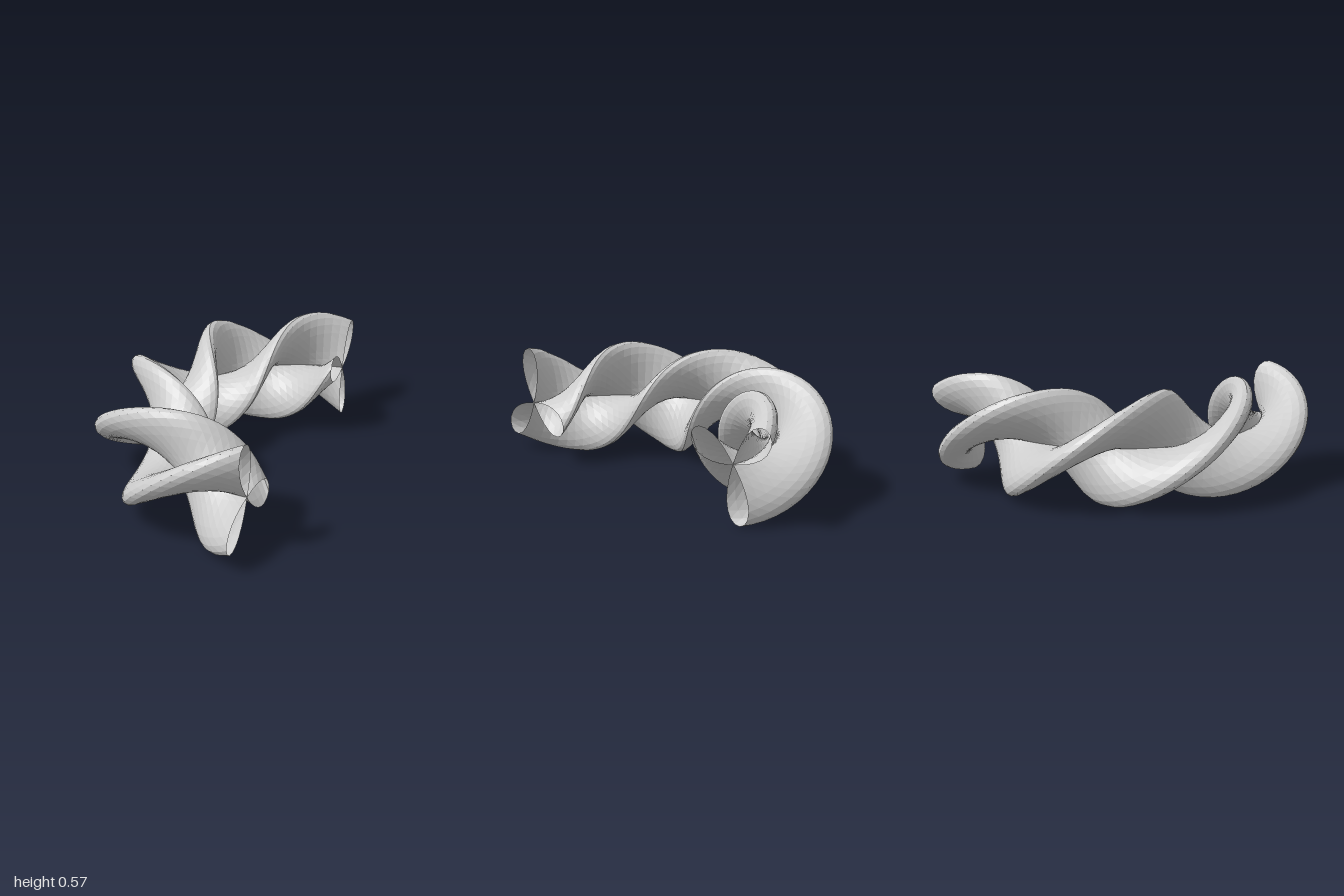
import * as THREE from 'three';

const LOBES = 3, POINTS = 18, STEPS = 64;
const ARC_RADIUS = 0.764, ARC_X = 0.518, TIP = 0.287, BULGE = 0.088;
const HALF_ARC = THREE.MathUtils.degToRad(87);
const TWIST = 3; // turns of the section per turn along the arc

// Three teardrop petals that meet at the middle, each with a ridge at its tip
function section() {
  const points = [];
  for (let lobe = 0; lobe < LOBES; lobe++) {
    const turn = lobe * 2 * Math.PI / LOBES;
    for (let i = 0; i < POINTS; i++) {
      const t = -Math.PI + i * 2 * Math.PI / POINTS;
      const p = new THREE.Vector2(TIP / 2 * (1 + Math.cos(t)), BULGE * Math.sin(t) * Math.cos(t / 2));
      points.push(p.rotateAround(new THREE.Vector2(), turn));
    }
  }
  return points;
}

// Sweep the section along a near half circle while it twists; the ends stay open
function twistedSweep() {
  const profile = section(), n = profile.length;
  const positions = [], indices = [];
  for (let i = 0; i <= STEPS; i++) {
    const a = HALF_ARC * (2 * i / STEPS - 1);
    const c = Math.cos(a * TWIST), s = Math.sin(a * TWIST);
    for (const p of profile) {
      const inward = p.x * c - p.y * s, up = p.x * s + p.y * c;
      const r = ARC_RADIUS - inward;
      positions.push(ARC_X - r * Math.cos(a), TIP + up, -r * Math.sin(a));
    }
  }
  for (let i = 0; i < STEPS; i++) {
    for (let j = 0; j < n; j++) {
      const a = i * n + j, b = i * n + (j + 1) % n;
      const c = a + n, d = b + n;
      indices.push(a, c, b, b, c, d);
    }
  }
  const geometry = new THREE.BufferGeometry();
  geometry.setAttribute('position', new THREE.Float32BufferAttribute(positions, 3));
  geometry.setIndex(indices);
  geometry.computeVertexNormals();
  return geometry;
}

export function createModel() {
  const group = new THREE.Group();
  group.name = 'twistedArc';
  const material = new THREE.MeshStandardMaterial({ color: 0xcccccc, flatShading: true, side: THREE.DoubleSide });
  const mesh = new THREE.Mesh(twistedSweep(), material);
  mesh.name = 'twistedLobes';
  group.add(mesh);
  return group;
}
